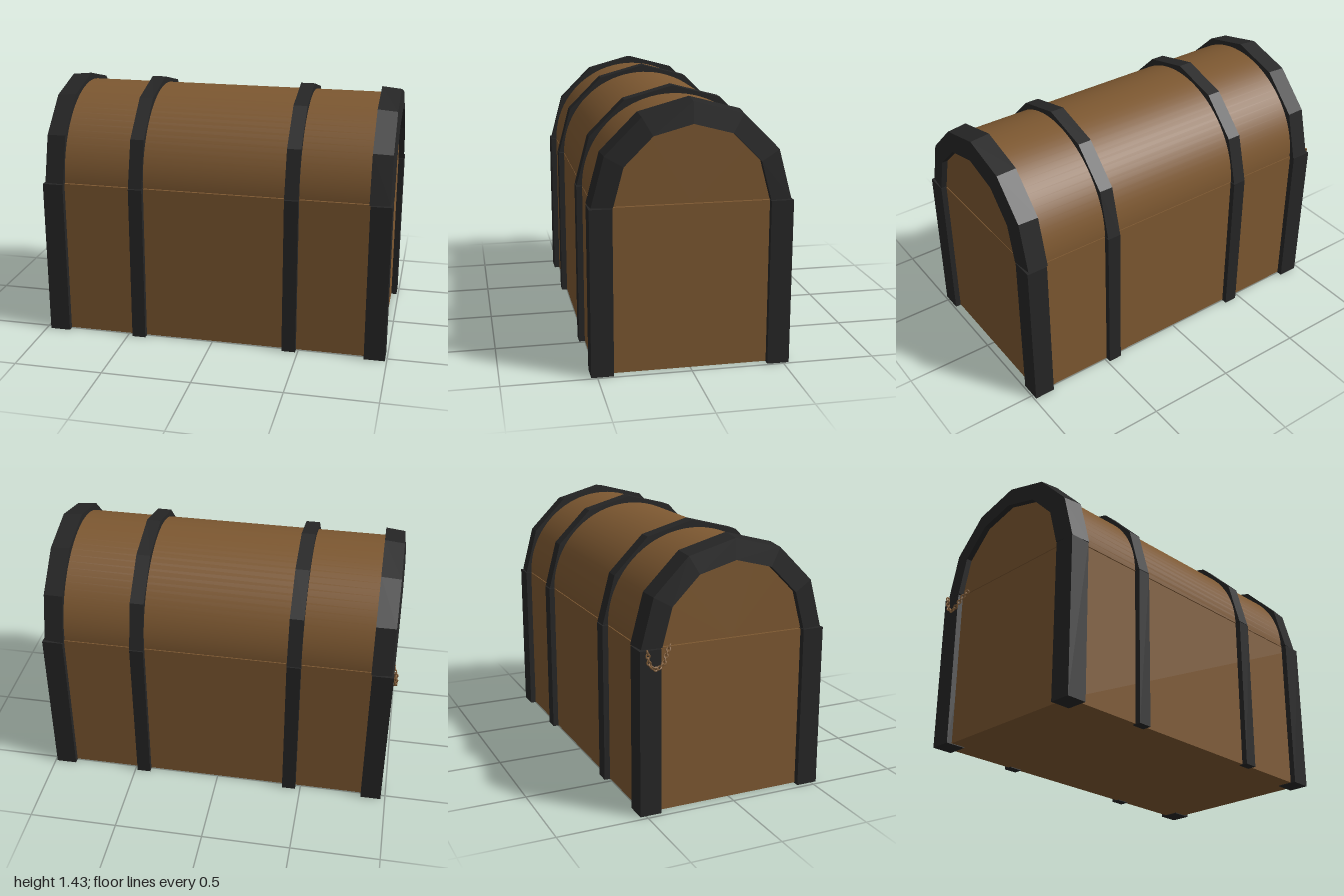
import * as THREE from 'three';

const CX = 0.0075; // chest centre; the chain takes up the extra room on -x
const SEAM = 0.9;

const wood = new THREE.MeshStandardMaterial({ name: 'brown wood', color: 0x7d5831 });
const iron = new THREE.MeshStandardMaterial({ name: 'black iron', color: 0x262626 });
const bronze = new THREE.MeshStandardMaterial({ name: 'bronze', color: 0x85603a });

function add(parent, name, geometry, material) {
  const mesh = new THREE.Mesh(geometry, material);
  mesh.name = name;
  parent.add(mesh);
  return mesh;
}

// Box from its minimum and maximum corners
function box(parent, name, material, [x0, y0, z0], [x1, y1, z1]) {
  const g = new THREE.BoxGeometry(x1 - x0, y1 - y0, z1 - z0);
  g.translate((x0 + x1) / 2, (y0 + y1) / 2, (z0 + z1) / 2);
  return add(parent, name, g, material);
}

// Faceted arch: sweeps an [x, radius] section over a half circle
function archGeometry(section, steps = 6) {
  const pos = [];
  const n = section.length;
  const point = (i, j) => {
    const a = (Math.PI * i) / steps;
    const [x, r] = section[j % n];
    return [x, r * Math.sin(a), r * Math.cos(a)];
  };
  const tri = (a, b, c) => pos.push(...a, ...b, ...c);
  for (let i = 0; i < steps; i++) {
    for (let j = 0; j < n; j++) {
      tri(point(i, j), point(i, j + 1), point(i + 1, j));
      tri(point(i, j + 1), point(i + 1, j + 1), point(i + 1, j));
    }
  }
  // Feet of the arch
  for (let j = 1; j < n - 1; j++) {
    tri(point(0, 0), point(0, j + 1), point(0, j));
    tri(point(steps, 0), point(steps, j), point(steps, j + 1));
  }
  const g = new THREE.BufferGeometry();
  g.setAttribute('position', new THREE.Float32BufferAttribute(pos, 3));
  g.computeVertexNormals();
  return g;
}

export function createModel() {
  const model = new THREE.Group();
  model.name = 'chest';
  const body = new THREE.Group();
  body.name = 'body';
  const lid = new THREE.Group();
  lid.name = 'lid';
  body.position.x = CX;
  lid.position.set(CX, SEAM, 0);
  model.add(body, lid);

  // Wooden box
  box(body, 'woodenBox', wood, [-0.95, 0.004, -0.5], [0.95, SEAM - 0.005, 0.5]);

  // Barrel lid with its flat underside
  const barrel = new THREE.CylinderGeometry(0.5, 0.5, 1.9, 40, 1, false, 0, Math.PI);
  barrel.rotateZ(Math.PI / 2).scale(1, 0.98, 1);
  add(lid, 'barrelLid', barrel, wood);
  const underside = new THREE.PlaneGeometry(1.9, 1).rotateX(Math.PI / 2);
  add(lid, 'lidUnderside', underside, wood);

  // Iron fittings
  const endHoop = archGeometry([[0.86, 0.532], [0.97, 0.521], [0.983, 0.41], [0.86, 0.41]]);
  const midHoop = archGeometry([[-0.039, 0.53], [0.039, 0.53], [0.039, 0.47], [-0.039, 0.47]]);
  for (const s of [1, -1]) {
    const end = add(lid, 'endHoop', endHoop, iron);
    end.position.y = 0.002;
    end.rotation.y = s > 0 ? 0 : Math.PI;
    const mid = add(lid, 'middleHoop', midHoop, iron);
    mid.position.set(s * 0.44, 0.002, 0);

    for (const t of [1, -1]) {
      const post = box(body, 'cornerPost', iron, [-0.0585, 0, -0.0595], [0.0585, SEAM - 0.003, 0.0595]);
      post.position.set(s * 0.9235, 0, t * 0.4725);
      const strap = box(body, 'frontStrap', iron, [-0.039, 0, -0.026], [0.039, SEAM - 0.003, 0.026]);
      strap.position.set(s * 0.44, 0, t * 0.506);
      strap.name = t > 0 ? 'frontStrap' : 'backStrap';
    }
  }

  // Small chain hanging in a loop on the -x end
  const chain = new THREE.Group();
  chain.name = 'chain';
  model.add(chain);
  const path = new THREE.CatmullRomCurve3([
    new THREE.Vector3(-0.985, 0.89, -0.495),
    new THREE.Vector3(-0.986, 0.83, -0.485),
    new THREE.Vector3(-0.986, 0.8, -0.45),
    new THREE.Vector3(-0.984, 0.82, -0.41),
    new THREE.Vector3(-0.97, 0.865, -0.385),
    new THREE.Vector3(-0.955, 0.9, -0.36),
  ]);
  const link = new THREE.TorusGeometry(0.0095, 0.0042, 6, 10).scale(1.25, 1, 1);
  const count = 15;
  for (let i = 0; i < count; i++) {
    const u = i / (count - 1);
    const ring = add(chain, 'chainLink', link, bronze);
    ring.position.copy(path.getPointAt(u));
    ring.quaternion.setFromUnitVectors(new THREE.Vector3(1, 0, 0), path.getTangentAt(u));
    ring.rotateX((i % 2) * Math.PI / 2);
  }
  return model;
}
